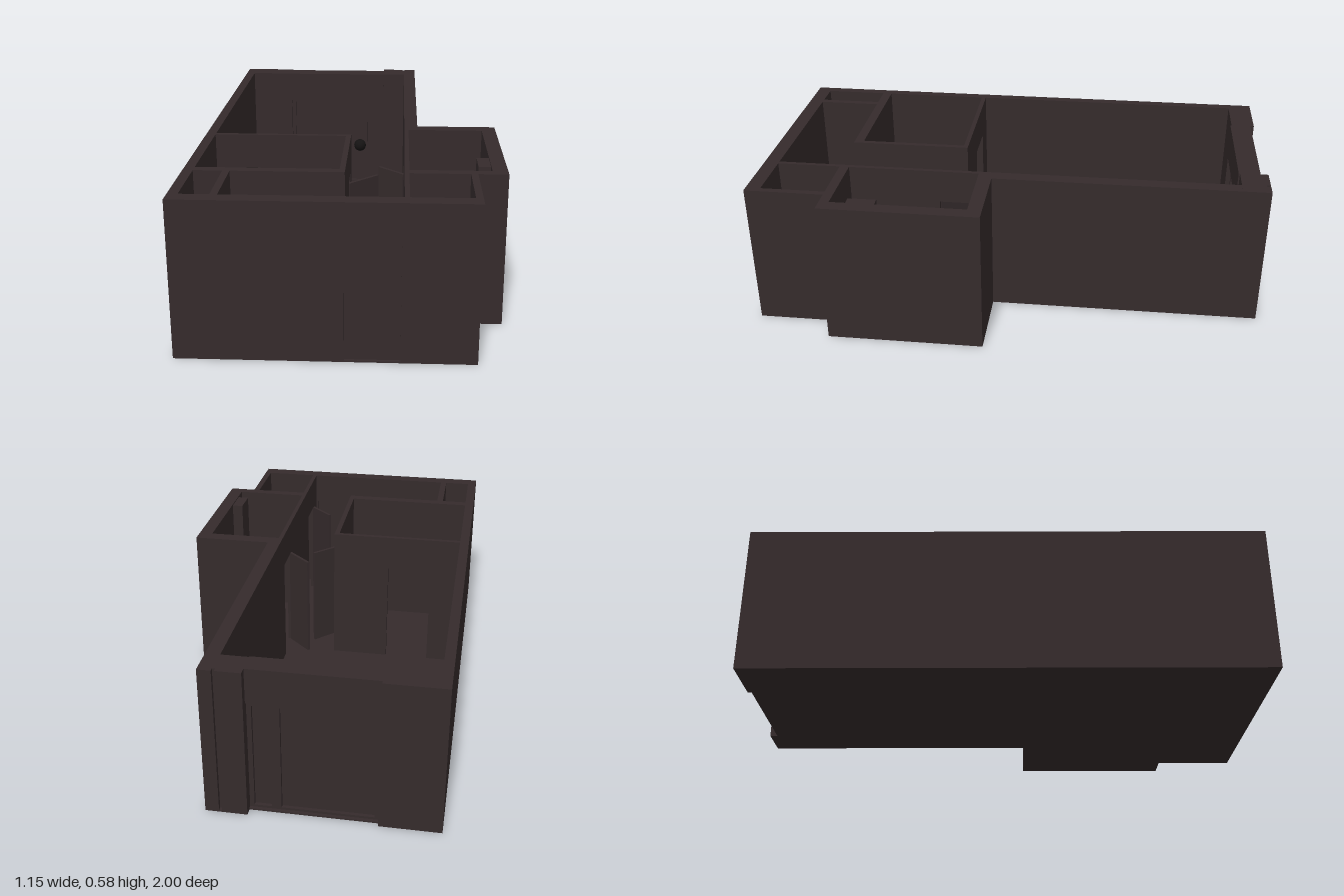
import * as THREE from 'three';

const H = 0.578;      // wall height
const DOOR_H = 0.443; // height of door and window openings
const FLOOR = 0.006;

export function createModel() {
  const house = new THREE.Group();
  house.name = 'apartment';
  const wallMat = new THREE.MeshStandardMaterial({ color: 0x352b2c });
  wallMat.name = 'dark brown plaster';
  const knobMat = new THREE.MeshStandardMaterial({ color: 0x151313 });
  knobMat.name = 'black handle';

  // Box from its extents
  const block = (name, x0, x1, z0, z1, y0 = 0, y1 = H) => {
    const m = new THREE.Mesh(new THREE.BoxGeometry(x1 - x0, y1 - y0, z1 - z0), wallMat);
    m.position.set((x0 + x1) / 2, (y0 + y1) / 2, (z0 + z1) / 2);
    m.name = name;
    house.add(m);
    return m;
  };
  // Wall running along x with one opening from a to b
  const wallX = (name, x0, x1, z0, z1, a, b) => {
    block(name, x0, a, z0, z1);
    block(name, b, x1, z0, z1);
    block(name + 'Lintel', a, b, z0, z1, DOOR_H);
  };
  // Wall running along z with openings [a, b] in order
  const wallZ = (name, x0, x1, z0, z1, openings) => {
    let z = z0;
    for (const [a, b] of openings) {
      block(name, x0, x1, z, a);
      block(name + 'Lintel', x0, x1, a, b, DOOR_H);
      z = b;
    }
    block(name, x0, x1, z, z1);
  };

  // Floor slab following the outline
  const outline = [
    [-0.575, 1], [0.467, 1], [0.467, 0.69], [0.575, 0.69], [0.575, 0.075],
    [0.263, 0.075], [0.263, -1], [0.11, -1], [0.11, -0.97], [-0.352, -0.97],
    [-0.352, -0.985], [-0.575, -0.985],
  ];
  const shape = new THREE.Shape(outline.map(([x, z]) => new THREE.Vector2(x, -z)));
  const slab = new THREE.ExtrudeGeometry(shape, { depth: FLOOR, bevelEnabled: false });
  slab.rotateX(-Math.PI / 2);
  const floor = new THREE.Mesh(slab, wallMat);
  floor.name = 'floor';
  house.add(floor);

  // Outer walls
  block('longWall', -0.575, -0.538, -0.985, 1);
  wallX('frontWall', -0.538, 0.467, 0.942, 1, 0.012, 0.204);
  block('frontDoor', 0.012, 0.204, 0.955, 0.99, 0, DOOR_H);
  block('storeOuterWall', 0.442, 0.467, 0.69, 0.942);
  block('bathFrontWall', 0.21, 0.575, 0.652, 0.69);
  block('bathOuterWall', 0.52, 0.575, 0.075, 0.652);
  block('bathBackWall', 0.21, 0.52, 0.075, 0.13);
  block('livingRoomSideWall', 0.21, 0.263, -0.89, 0.075);
  block('bathShaft', 0.475, 0.522, 0.482, 0.592, 0, H - 0.005);

  // Back wall with a window recess between two piers
  block('backPier', -0.538, -0.352, -0.985, -0.89);
  block('backPier', 0.11, 0.263, -0.985, -0.89);
  block('backPilaster', 0.11, 0.202, -1, -0.985);
  block('backPilaster', 0.213, 0.263, -1, -0.985);
  block('windowLintel', -0.352, 0.11, -0.97, -0.885, DOOR_H);

  // Sliding window: frame and two panes
  block('windowFrame', -0.352, -0.335, -0.958, -0.91, 0, DOOR_H);
  block('windowFrame', 0.093, 0.11, -0.958, -0.91, 0, DOOR_H);
  block('windowMullion', -0.005, 0.03, -0.958, -0.91, 0, DOOR_H);
  for (const y of [0, DOOR_H - 0.015]) block('windowRail', -0.352, 0.11, -0.958, -0.91, y, y + 0.015);
  block('windowPane', -0.335, -0.005, -0.945, -0.925, 0.015, DOOR_H - 0.015);
  block('windowPane', 0.03, 0.093, -0.945, -0.925, 0.015, DOOR_H - 0.015);

  // Round window handle
  const knob = new THREE.Mesh(new THREE.SphereGeometry(0.03, 16, 10), knobMat);
  knob.name = 'windowHandle';
  knob.position.set(-0.008, 0.21, -0.888);
  house.add(knob);

  // Inner walls
  wallZ('hallWall', 0.21, 0.227, 0.13, 0.942, [[0.15, 0.29], [0.72, 0.86]]);
  wallX('bedroomBackWall', -0.538, 0, 0.21, 0.228, -0.42, -0.237);
  wallZ('bedroomSideWall', -0.02, 0, 0.228, 0.652, [[0.265, 0.41]]);
  block('bedroomFrontWall', -0.538, 0, 0.652, 0.69);
  block('closetWall', -0.433, -0.407, 0.69, 0.942);

  // Inner doors standing half open, from hinge to free edge
  const doors = [
    [0.21, 0.29, 0.113, 0.197],
    [0, 0.41, 0.107, 0.303],
    [0.21, 0.86, 0.113, 0.765],
  ];
  for (const [x0, z0, x1, z1] of doors) {
    const leaf = new THREE.Mesh(
      new THREE.BoxGeometry(Math.hypot(x1 - x0, z1 - z0), DOOR_H - FLOOR, 0.012), wallMat);
    leaf.position.set((x0 + x1) / 2, (DOOR_H + FLOOR) / 2, (z0 + z1) / 2);
    leaf.rotation.y = -Math.atan2(z1 - z0, x1 - x0);
    leaf.name = 'innerDoor';
    house.add(leaf);
  }
  return house;
}
